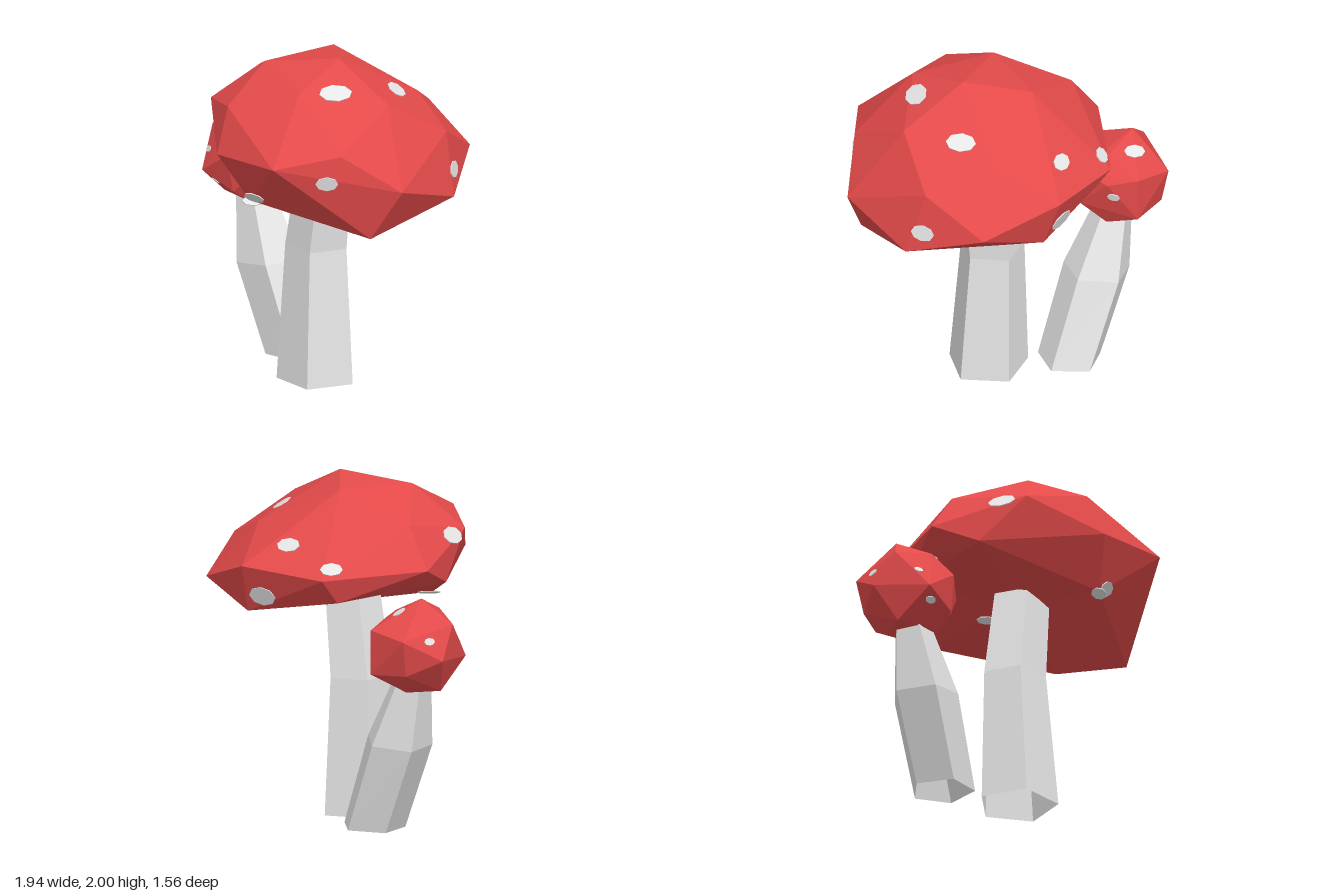
import * as THREE from 'three';
import { ConvexGeometry } from 'three/addons/geometries/ConvexGeometry.js';

const V = (p) => new THREE.Vector3(p[0], p[1], p[2]);

function makeMaterial(name, color) {
  const m = new THREE.MeshStandardMaterial({ color });
  m.name = name;
  return m;
}

// Faceted cap: hull of its corner points
function makeCap(name, points, material) {
  const mesh = new THREE.Mesh(new ConvexGeometry(points.map(V)), material);
  mesh.name = name;
  return mesh;
}

// Replaces the flat underside of a cap with a fan rising to a hollow point
function hollowUnderside(geo, hollow) {
  const p = geo.attributes.position, n = geo.attributes.normal;
  const pos = [], edges = new Map();
  const key = (v) => v.map((k) => k.toFixed(3)).join();
  for (let i = 0; i < p.count; i += 3) {
    const tri = [0, 1, 2].map((k) => [p.getX(i + k), p.getY(i + k), p.getZ(i + k)]);
    if (n.getY(i) > -0.85) {
      pos.push(...tri.flat());
      continue;
    }
    tri.forEach((a, k) => {
      const b = tri[(k + 1) % 3];
      const back = key(b) + '|' + key(a);
      if (edges.has(back)) edges.delete(back);
      else edges.set(key(a) + '|' + key(b), [a, b]);
    });
  }
  for (const [a, b] of edges.values()) pos.push(...a, ...b, ...hollow);
  const out = new THREE.BufferGeometry();
  out.setAttribute('position', new THREE.Float32BufferAttribute(pos, 3));
  out.computeVertexNormals();
  return out;
}

// Five-sided open stem lofted through rings [x, y, z, radius, sideways tilt]
function makeStem(name, rings, turn, material) {
  const sides = 5;
  const geo = new THREE.BufferGeometry();
  const pos = [];
  const idx = [];
  for (const [x, y, z, r, tilt] of rings) {
    for (let i = 0; i < sides; i++) {
      const a = (54 + turn + 72 * i) * Math.PI / 180;
      const dx = r * Math.cos(a);
      pos.push(x + dx, y + dx * tilt, z + r * Math.sin(a));
    }
  }
  for (let k = 0; k < rings.length - 1; k++) {
    for (let i = 0; i < sides; i++) {
      const a = k * sides + i, b = k * sides + (i + 1) % sides;
      idx.push(a, a + sides, b, b, a + sides, b + sides);
    }
  }
  geo.setAttribute('position', new THREE.Float32BufferAttribute(pos, 3));
  geo.setIndex(idx);
  const flat = geo.toNonIndexed();
  flat.computeVertexNormals();
  const mesh = new THREE.Mesh(flat, material);
  mesh.name = name;
  return mesh;
}

// Thin oval plates laid on the facets nearest to the given points [x, y, z, radius]
function makeSpots(name, cap, center, spots, material) {
  const group = new THREE.Group();
  group.name = name;
  const c = V(center);
  for (const s of spots) {
    const dir = V(s).sub(c).normalize();
    const ray = new THREE.Raycaster(c.clone().addScaledVector(dir, 3), dir.clone().negate());
    const hit = ray.intersectObject(cap)[0];
    if (!hit) continue;
    const n = hit.face.normal;
    const side = new THREE.Vector3(0, 1, 0).cross(n).normalize();
    const up = n.clone().cross(side);
    const geo = new THREE.CylinderGeometry(s[3], s[3], 0.006, 8);
    geo.rotateX(Math.PI / 2);
    geo.scale(1.1, 0.75, 1);
    const mesh = new THREE.Mesh(geo, material);
    mesh.name = 'spot';
    mesh.quaternion.setFromRotationMatrix(new THREE.Matrix4().makeBasis(side, up, n));
    mesh.position.copy(hit.point).addScaledVector(n, 0.002);
    group.add(mesh);
  }
  return group;
}

export function createModel() {
  const red = makeMaterial('cap red', 0xe44a4a);
  const pale = makeMaterial('stem pale grey', 0xe6e6e6);
  pale.side = THREE.DoubleSide;

  // Large mushroom
  const bigCap = makeCap('largeCap', [
    [0.27, 2.0, 0.04], [0.69, 1.82, 0.06], [0.33, 1.89, 0.43], [-0.12, 1.945, 0.25],
    [-0.03, 1.95, -0.23], [0.44, 1.73, -0.44],
    [-0.45, 1.78, -0.06], [-0.39, 1.7, 0.42], [-0.06, 1.77, 0.62], [0.72, 1.61, 0.48],
    [0.81, 1.6, -0.3],
    [-0.63, 1.54, -0.08], [-0.04, 1.51, 0.73], [0.46, 1.54, 0.78], [0.97, 1.39, 0.23],
    [0.66, 1.4, -0.65], [0.2, 1.54, -0.78], [-0.31, 1.5, -0.61],
    [-0.51, 1.43, 0.17], [0.1, 1.23, 0.6], [0.8, 1.09, 0.32], [0.92, 1.24, -0.25],
    [0.25, 1.26, -0.69], [-0.32, 1.36, -0.5],
  ], red);
  bigCap.geometry = hollowUnderside(bigCap.geometry, [0.16, 1.34, 0]);
  const bigSpots = makeSpots('largeCapSpots', bigCap, [0.17, 1.5, 0], [
    [0.45, 1.88, 0.25, 0.09], [0.52, 1.83, -0.24, 0.08], [-0.44, 1.68, 0.28, 0.075],
    [0.68, 1.45, 0.56, 0.06], [0.87, 1.37, -0.33, 0.065], [0.02, 1.67, -0.6, 0.065],
    [-0.31, 1.56, -0.54, 0.06], [0.12, 1.36, -0.71, 0.08],
    [0.15, 1.26, 0.62, 0.06], [0.12, 1.25, 0.54, 0.06], [0.21, 1.29, -0.28, 0.055],
  ], pale);
  const bigStem = makeStem('largeStem', [
    [0.095, 0.01, 0.03, 0.24, 0],
    [0.08, 0.82, 0.01, 0.193, 0],
    [0.155, 1.35, 0.01, 0.172, 0],
  ], 7, pale);

  // Small mushroom
  const smallCap = makeCap('smallCap', [
    [-0.76, 1.42, -0.24], [-0.92, 1.28, -0.14], [-0.97, 1.08, -0.26], [-0.85, 1.2, -0.46],
    [-0.6, 1.24, -0.49], [-0.6, 0.98, -0.49], [-0.83, 0.99, -0.42], [-0.47, 1.2, -0.37],
    [-0.4, 1.25, -0.2], [-0.4, 1.03, -0.2], [-0.57, 1.33, -0.27], [-0.69, 1.33, -0.04],
    [-0.61, 1.2, 0.06], [-0.83, 1.06, 0.04], [-0.59, 0.98, 0.03], [-0.85, 0.88, -0.17],
    [-0.72, 0.87, -0.32], [-0.52, 0.9, -0.3], [-0.55, 0.9, -0.08], [-0.45, 1.12, -0.03],
  ], red);
  const smallSpots = makeSpots('smallCapSpots', smallCap, [-0.68, 1.15, -0.21], [
    [-0.87, 1.17, 0, 0.026], [-0.66, 1.3, -0.04, 0.022], [-0.76, 1, 0, 0.032],
    [-0.47, 1.02, -0.05, 0.025], [-0.69, 1.37, -0.37, 0.055], [-0.94, 1.2, -0.32, 0.03],
    [-0.5, 1.12, -0.39, 0.035],
  ], pale);
  const smallStem = makeStem('smallStem', [
    [-0.31, 0.01, -0.22, 0.19, 0.04],
    [-0.52, 0.535, -0.21, 0.2, 0.13],
    [-0.64, 0.91, -0.21, 0.115, 0.15],
    [-0.66, 0.98, -0.21, 0.1, 0.15],
  ], 0, pale);

  const large = new THREE.Group();
  large.name = 'largeMushroom';
  large.add(bigStem, bigCap, bigSpots);
  const small = new THREE.Group();
  small.name = 'smallMushroom';
  small.add(smallStem, smallCap, smallSpots);

  const model = new THREE.Group();
  model.name = 'mushrooms';
  model.add(large, small);
  return model;
}
